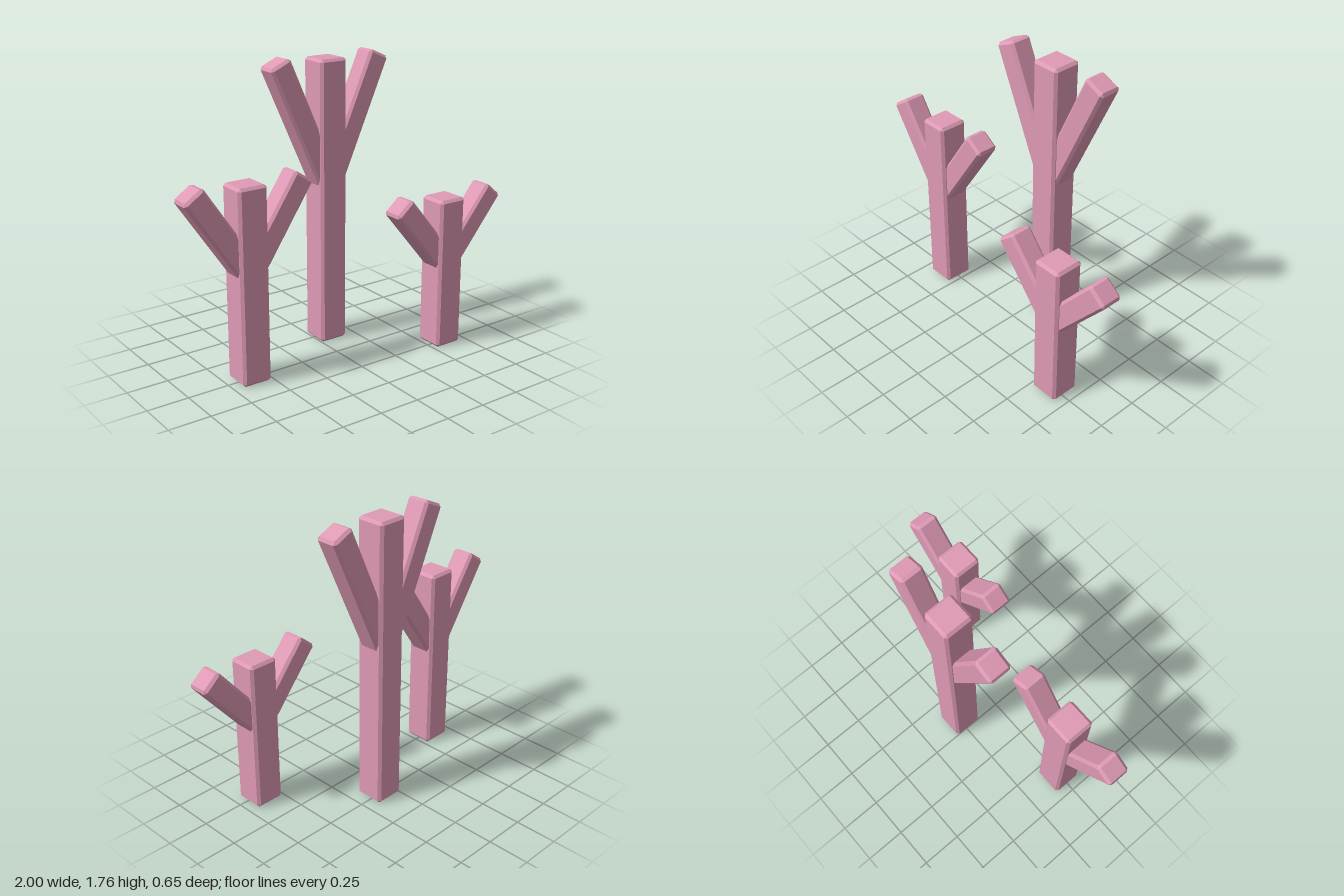
import * as THREE from 'three';
import { ConvexGeometry } from 'three/addons/geometries/ConvexGeometry.js';

const material = new THREE.MeshStandardMaterial({ color: 0xdf9ab5, flatShading: true });

// Box with every edge cut by a single flat chamfer, standing on its origin
function chamferedBox(width, height, depth, c = 0.016) {
  const half = [width / 2, height / 2, depth / 2];
  const points = [];
  for (const sx of [-1, 1]) for (const sy of [-1, 1]) for (const sz of [-1, 1]) {
    for (let axis = 0; axis < 3; axis++) {
      const [x, y, z] = half.map((h, i) => (i === axis ? h : h - c));
      points.push(new THREE.Vector3(sx * x, sy * y + half[1], sz * z));
    }
  }
  return new ConvexGeometry(points);
}

function addMesh(parent, name, geometry) {
  const mesh = new THREE.Mesh(geometry, material);
  mesh.name = name;
  parent.add(mesh);
  return mesh;
}

// Square trunk with two mirrored branches that rise to the height of its top
function createCoral(name, x, z, height, forkY) {
  const coral = new THREE.Group();
  coral.name = name;
  coral.position.set(x, 0, z);
  addMesh(coral, 'trunk', chamferedBox(0.18, height, 0.18));

  const reach = 0.345;
  const rise = height - forkY;
  for (const side of [1, -1]) {
    const branch = addMesh(coral, side > 0 ? 'leftBranch' : 'rightBranch',
      chamferedBox(0.14, Math.hypot(reach, rise), 0.14));
    branch.position.y = forkY;
    branch.rotation.z = -side * Math.atan2(reach, rise);
  }
  return coral;
}

export function createModel() {
  const model = new THREE.Group();
  model.name = 'coralCluster';
  model.add(
    createCoral('mediumCoral', -0.607, 0, 1.155, 0.64),
    createCoral('tallCoral', 0.088, -0.235, 1.735, 0.965),
    createCoral('shortCoral', 0.608, 0.232, 0.925, 0.512),
  );
  return model;
}
